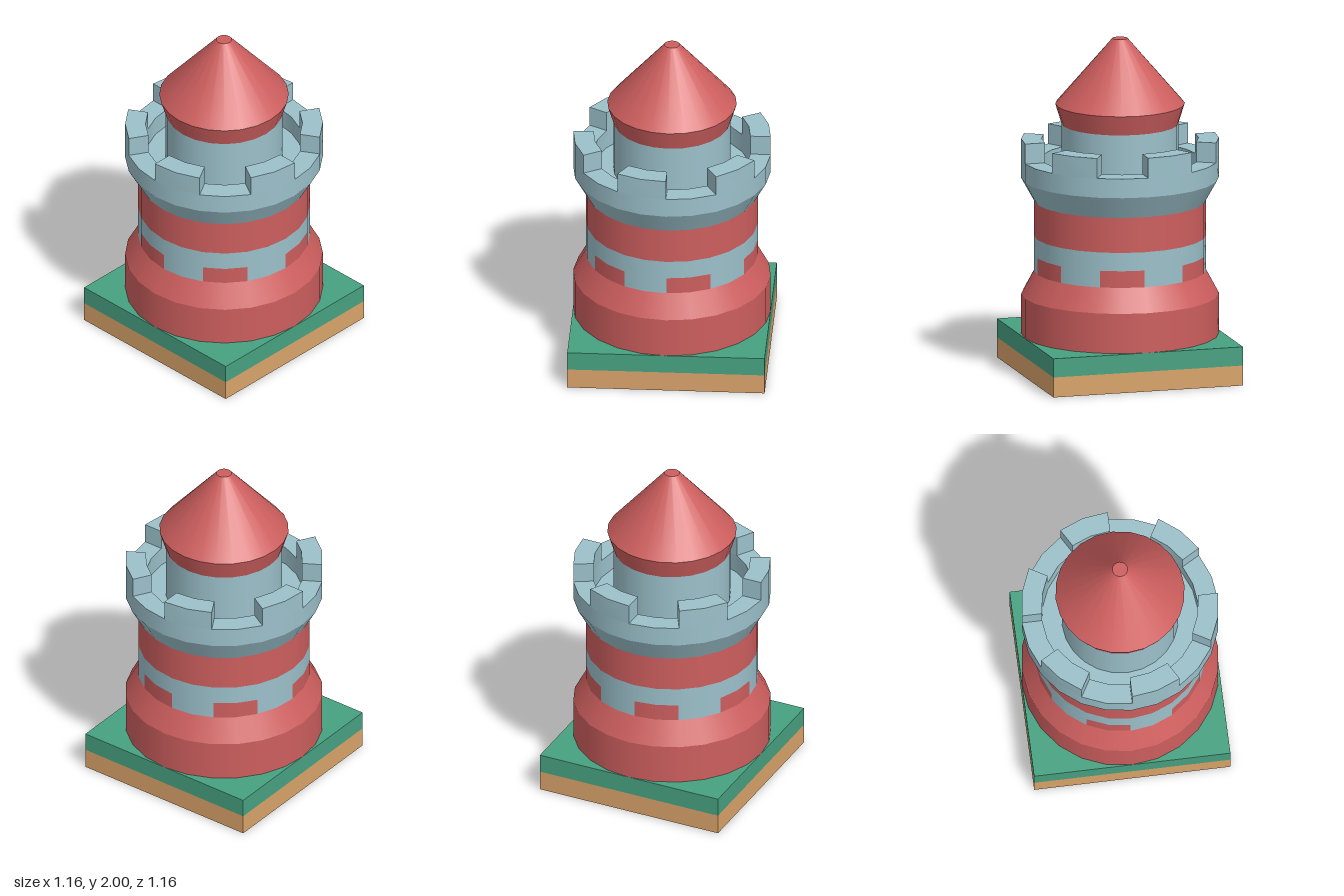
import * as THREE from 'three';
import { mergeGeometries, toCreasedNormals } from 'three/addons/utils/BufferGeometryUtils.js';

const SIDES = 24;
const STEP = Math.PI / 6; // width of one battlement or checker sector
const paint = (color) => new THREE.MeshStandardMaterial({ color });
const RED = paint(0xcd5e5e), STONE = paint(0x9bc0ca), GREEN = paint(0x47a181), TAN = paint(0xd9a36a);

// Turned part with a hard edge at each [radius, y] point, smooth around.
// Profiles run upward on outer faces and inward on top faces.
function turned(profile, start = 0, length = Math.PI * 2) {
  const segments = Math.round((SIDES * length) / (Math.PI * 2));
  const bands = [];
  for (let i = 0; i < profile.length - 1; i++) {
    const pair = [profile[i], profile[i + 1]].map(([r, y]) => new THREE.Vector2(r, y));
    bands.push(new THREE.LatheGeometry(pair, segments, start, length));
  }
  return mergeGeometries(bands);
}

// Block on a ring between two radii, spanning one sector
function sectorBlock(inner, outer, height, start) {
  const at = (r, k) => {
    const a = start + (k * STEP) / 2;
    return new THREE.Vector2(r * Math.sin(a), -r * Math.cos(a));
  };
  const shape = new THREE.Shape([
    at(outer, 0), at(outer, 1), at(outer, 2), at(inner, 2), at(inner, 1), at(inner, 0),
  ]);
  const geometry = new THREE.ExtrudeGeometry(shape, { depth: height, bevelEnabled: false });
  return toCreasedNormals(geometry.rotateX(-Math.PI / 2), Math.PI / 6);
}

export function createModel() {
  const model = new THREE.Group();
  model.name = 'castleTower';
  const add = (name, geometry, material, y = 0) => {
    const mesh = new THREE.Mesh(geometry, material);
    mesh.name = name;
    mesh.position.y = y;
    model.add(mesh);
  };

  // Square ground tile
  add('earthSlab', new THREE.BoxGeometry(1.16, 0.12, 1.16), TAN, 0.06);
  add('grassSlab', new THREE.BoxGeometry(1.16, 0.112, 1.16), GREEN, 0.176);

  // Tower foot and shaft
  add('foot', turned([[0.58, 0.232], [0.58, 0.47], [0.505, 0.61]]), RED);
  for (let i = 0; i < 12; i++) {
    const red = i % 2 === 0;
    add(red ? 'redChecker' : 'stoneChecker',
      turned([[0.505, 0.61], [0.505, 0.71]], i * STEP, STEP), red ? RED : STONE);
  }
  add('stoneBand', turned([[0.505, 0.71], [0.505, 0.82]]), STONE);
  add('redBand', turned([[0.505, 0.82], [0.505, 1.03]]), RED);

  // Flared parapet with a sunken walkway
  add('parapet', turned([
    [0.505, 1.03], [0.58, 1.165], [0.58, 1.28], [0.46, 1.28], [0.46, 1.165], [0.34, 1.165],
  ]), STONE);
  for (let i = 1; i < 12; i += 2) {
    add('merlon', sectorBlock(0.46, 0.58, 0.12, i * STEP), STONE, 1.28);
  }

  // Turret and pointed roof
  add('turret', turned([[0.343, 1.165], [0.343, 1.49]]), STONE);
  add('roof', turned([[0.343, 1.49], [0.38, 1.61], [0.045, 2], [0, 2]]), RED);
  return model;
}
